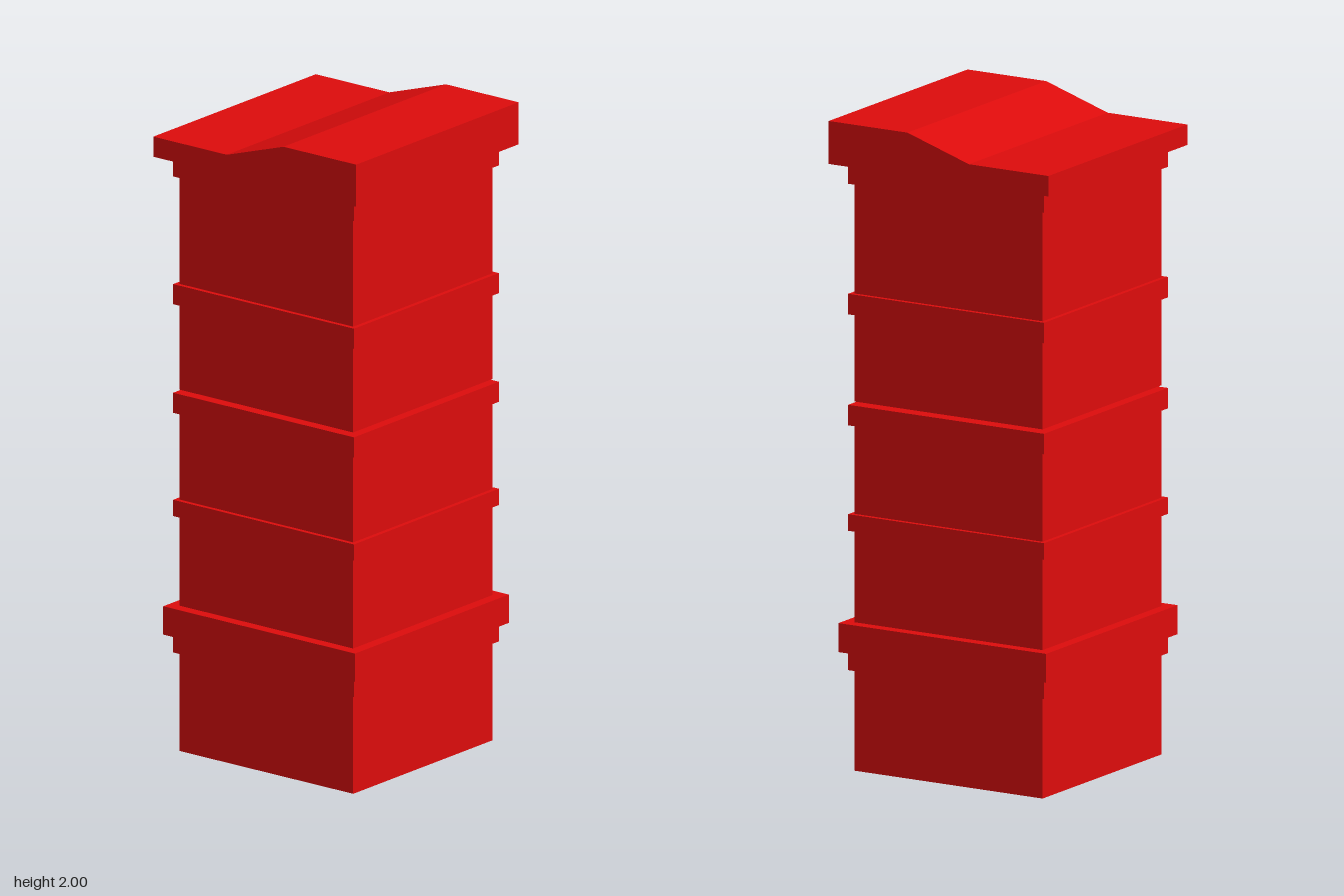
import * as THREE from 'three';

export function createModel() {
  const group = new THREE.Group();
  group.name = 'hiveTower';
  const material = new THREE.MeshStandardMaterial({ color: 0xdd0c0c, flatShading: true });

  // Square tier of a given half width between two heights
  const addTier = (name, half, bottom, top) => {
    const mesh = new THREE.Mesh(new THREE.BoxGeometry(half * 2, top - bottom, half * 2), material);
    mesh.position.y = (bottom + top) / 2;
    mesh.name = name;
    group.add(mesh);
  };

  // Stacked box bodies, rims and base ledge; a thin slit separates the middle boxes
  const body = 0.332, rim = 0.346, ledge = 0.367;
  [
    ['baseBox', body, 0, 0.31],
    ['baseRim', rim, 0.31, 0.367],
    ['baseLedge', ledge, 0.367, 0.456],
    ['lowerBox', body, 0.456, 0.738],
    ['lowerRim', rim, 0.738, 0.789],
    ['middleBox', body, 0.789, 1.062],
    ['middleRim', rim, 1.062, 1.125],
    ['upperBox', body, 1.134, 1.403],
    ['upperRim', rim, 1.403, 1.466],
    ['topBox', body, 1.466, 1.804],
    ['topRim', rim, 1.804, 1.868],
  ].forEach((tier) => addTier(...tier));

  // Roof slab, low on the right and stepping up by a ramp to the left
  const h = 0.388;
  const profile = new THREE.Shape([
    [-h, 1.868], [h, 1.868], [h, 2], [0.11, 2], [-0.107, 1.931], [-h, 1.931],
  ].map(([x, y]) => new THREE.Vector2(x, y)));
  const roofGeometry = new THREE.ExtrudeGeometry(profile, { depth: h * 2, bevelEnabled: false });
  roofGeometry.translate(0, 0, -h);
  const roof = new THREE.Mesh(roofGeometry, material);
  roof.name = 'roof';
  group.add(roof);

  return group;
}
